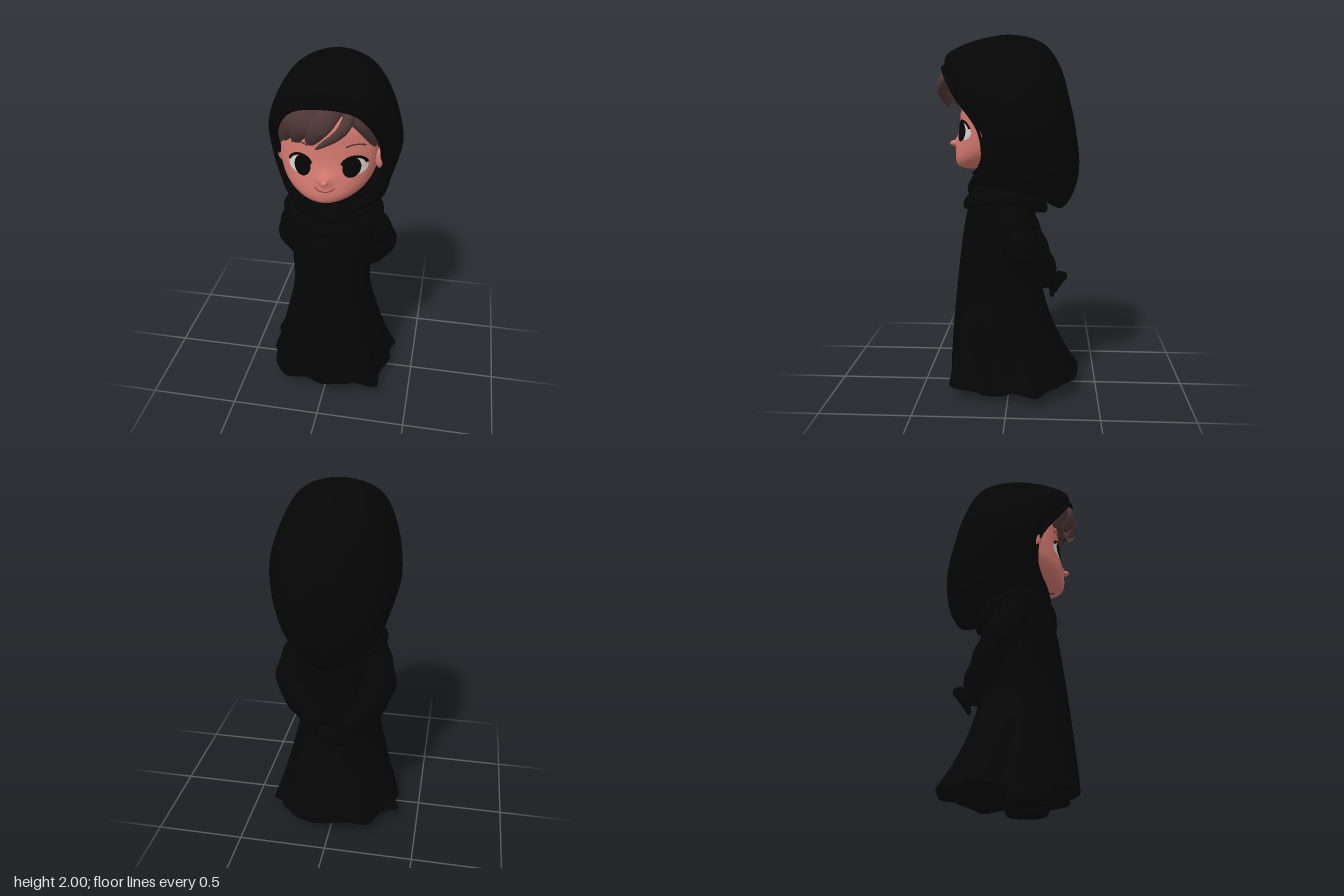
import * as THREE from 'three';
import { mergeVertices } from 'three/addons/utils/BufferGeometryUtils.js';

const V = (x, y, z) => new THREE.Vector3(x, y, z);
const mat = (name, color, side = THREE.FrontSide) => new THREE.MeshStandardMaterial({ name, color, side });

// Smooth surface from a rule fn(u, v); the front is the side of dP/du x dP/dv
function surface(nu, nv, fn) {
  const pos = [], idx = [];
  for (let j = 0; j <= nv; j++) for (let i = 0; i <= nu; i++) pos.push(...fn(i / nu, j / nv).toArray());
  for (let j = 0; j < nv; j++) for (let i = 0; i < nu; i++) {
    const a = j * (nu + 1) + i, d = a + nu + 1;
    idx.push(a, a + 1, d, a + 1, d + 1, d);
  }
  const g = new THREE.BufferGeometry();
  g.setAttribute('position', new THREE.Float32BufferAttribute(pos, 3));
  g.setIndex(idx);
  const m = mergeVertices(g, 1e-5);
  m.computeVertexNormals();
  return m;
}

// Smooth lookup in a table of rows [y, halfWidth, zFront, zBack]
function lookup(rows, y) {
  const n = rows.length - 1;
  let i = 0;
  while (i < n - 1 && y > rows[i + 1][0]) i++;
  const a = rows[i], b = rows[i + 1], p = rows[Math.max(i - 1, 0)], q = rows[Math.min(i + 2, n)];
  const h = b[0] - a[0], t = THREE.MathUtils.clamp((y - a[0]) / h, 0, 1);
  return [1, 2, 3].map((k) => {
    const m0 = (b[k] - p[k]) / (b[0] - p[0]) * h, m1 = (q[k] - a[k]) / (q[0] - a[0]) * h;
    return a[k] * (2 * t ** 3 - 3 * t * t + 1) + m0 * (t ** 3 - 2 * t * t + t)
      + b[k] * (3 * t * t - 2 * t ** 3) + m1 * (t ** 3 - t * t);
  });
}
const oval = (a, y, [rx, zf, zb], k = 1) =>
  V(rx * k * Math.sin(a), y, (zf + zb) / 2 + (zf - zb) / 2 * k * Math.cos(a));

// Tube along points with half-width w(t), half-depth d(t); hint is the depth direction
function sweep(points, w, d, hint, nu = 16, nv = 24) {
  const c = new THREE.CatmullRomCurve3(points.map((p) => V(...p)));
  return surface(nu, nv, (u, v) => {
    const t = c.getTangent(v), n = hint.clone().addScaledVector(t, -hint.dot(t)).normalize();
    const s = n.clone().cross(t), a = u * Math.PI * 2;
    return c.getPoint(v).addScaledVector(s, w(v) * Math.cos(a)).addScaledVector(n, d(v) * Math.sin(a));
  });
}

const FACE = [[1.268, 0.01, 0.25, 0.2], [1.285, 0.1, 0.29, 0.1], [1.32, 0.17, 0.305, 0.02], [1.37, 0.22, 0.303, -0.05],
  [1.43, 0.25, 0.293, -0.1], [1.5, 0.265, 0.28, -0.1], [1.58, 0.265, 0.275, -0.1], [1.68, 0.24, 0.27, -0.1],
  [1.78, 0.17, 0.22, -0.06], [1.84, 0.02, 0.09, 0.03]];
const DRESS = [[0.08, 0.365, 0.345, -0.385], [0.2, 0.325, 0.34, -0.32], [0.4, 0.275, 0.325, -0.235], [0.65, 0.222, 0.3, -0.17],
  [0.85, 0.225, 0.275, -0.145], [1.0, 0.24, 0.25, -0.145], [1.1, 0.235, 0.22, -0.135], [1.22, 0.16, 0.16, -0.1]];
// Hem corners: [angle, reach, spread]
const CORNERS = [[0.74, 0.27, 0.17], [-0.72, 0.09, 0.25], [1.93, 0.1, 0.13], [-1.93, 0.11, 0.13], [2.6, 0.1, 0.18],
  [-2.6, 0.07, 0.15], [2.25, 0.06, 0.15], [3.1, 0.05, 0.2]];

function faceZ(x, y) {
  const [rx, zf, zb] = lookup(FACE, y), c = (zf + zb) / 2;
  return c + (zf - c) * Math.sqrt(Math.max(0, 1 - (x / rx) ** 2));
}

// Half loops of the hood from its rim to the back, each from crown to chin
const RIM = [[0, 1.83, 0.357], [0.16, 1.8, 0.342], [0.25, 1.68, 0.275], [0.27, 1.5, 0.15], [0.24, 1.36, 0.13], [0.14, 1.27, 0.17], [0, 1.245, 0.2]];
const BROW = [[0, 1.9, 0.338], [0.195, 1.86, 0.31], [0.3, 1.7, 0.22], [0.327, 1.5, 0.1], [0.285, 1.34, 0.11], [0.18, 1.23, 0.19], [0, 1.19, 0.225]];
const CROWN = [[0, 2, 0.03], [0.195, 1.935, 0.03], [0.31, 1.73, 0], [0.356, 1.53, -0.02], [0.305, 1.33, 0], [0.25, 1.2, 0.04], [0, 1.14, 0.05]];
const NAPE = [[0, 1.955, -0.18], [0.16, 1.9, -0.18], [0.27, 1.73, -0.2], [0.315, 1.5, -0.2], [0.285, 1.29, -0.18], [0.2, 1.15, -0.17], [0, 1.1, -0.17]];
const BACK = [[0, 1.83, -0.275], [0.12, 1.78, -0.275], [0.2, 1.66, -0.285], [0.24, 1.45, -0.31], [0.19, 1.24, -0.33], [0.1, 1.1, -0.31], [0, 1.05, -0.29]];
const TIP = [[0, 1.62, -0.335], [0.06, 1.6, -0.34], [0.1, 1.53, -0.35], [0.12, 1.4, -0.37], [0.09, 1.28, -0.38], [0.05, 1.21, -0.375], [0, 1.18, -0.365]];
const loop = (half) => new THREE.CatmullRomCurve3([
  ...half.map(([x, y, z]) => V(x + 0.018, y, z)),
  ...half.slice(1, -1).reverse().map(([x, y, z]) => V(0.018 - x, y, z))], true);

export function createModel() {
  const model = new THREE.Group();
  const cloth = mat('black cloth', 0x050505, THREE.DoubleSide), skin = mat('skin', 0xd47a70);
  const hair = mat('brown hair', 0x4e3836), white = mat('eye white', 0xd8d4d0);
  const dark = mat('eye black', 0x050505), lip = mat('lip line', 0x8a3c38);
  const add = (name, geo, material, parent = model) => {
    const m = new THREE.Mesh(geo, material);
    m.name = name;
    parent.add(m);
    return m;
  };
  const ball = (name, material, p, r, parent) => {
    const m = add(name, new THREE.SphereGeometry(1, 28, 20), material, parent);
    m.position.set(...p);
    m.scale.set(...r);
  };

  // Robe with folds that deepen to the hem, and its hollow underside
  const robe = (a, y, k = 1) => {
    const f = Math.max(0, 1 - (y - 0.08) / 0.6) ** 1.5;
    let wave = 0.018 * Math.cos(13 * a + 0.6);
    for (const [c, reach, spread] of CORNERS) {
      const d = Math.atan2(Math.sin(a - c), Math.cos(a - c));
      wave += reach * Math.exp(-((d / spread) ** 2));
    }
    const p = oval(a, y, lookup(DRESS, y), k * (1 + f * wave));
    p.x += 0.01 * (1 - f);
    p.y += f * f * (0.03 * Math.cos(a) ** 2 - 0.012 + 0.012 * Math.cos(7 * a + 2));
    return p;
  };
  add('robe', surface(144, 50, (u, v) => robe(u * Math.PI * 2, 0.08 + 1.14 * v)), cloth);
  add('robeUnderside', surface(144, 8, (u, v) => {
    const p = robe(-u * Math.PI * 2, 0.08, 1 - v);
    p.y += (0.17 - p.y) * Math.sin(v * Math.PI / 2);
    return p;
  }), cloth);

  // Shoes
  const shoe = new THREE.SplineCurve([[0, 0.005], [0.065, 0.005], [0.081, 0.025], [0.083, 0.06], [0.066, 0.105], [0.03, 0.128], [0, 0.13]]
    .map((p) => new THREE.Vector2(...p)));
  const shoeGeo = new THREE.LatheGeometry(shoe.getPoints(24).map((p) => p.setX(Math.max(0, p.x))), 32).scale(1, 1, 1.44);
  for (const x of [-0.142, 0.175]) add('shoe', shoeGeo, cloth).position.set(x, 0, 0.08);

  // Sleeves bent behind the back, and clasped hands
  for (const s of [1, -1]) {
    const r = (t) => (0.088 + 0.018 * Math.sin(t * Math.PI) - 0.022 * t + 0.004 * Math.sin(t * 30)) * (t < 0.001 || t > 0.999 ? 0.01 : 1);
    add('sleeve', sweep([[s * 0.16, 1.13, 0.03], [s * 0.218 + 0.013, 1.0, -0.01], [s * 0.249 + 0.013, 0.87, -0.075],
      [s * 0.165, 0.735, -0.15], [s * 0.05, 0.645, -0.215]], r, r, V(0, 0, -1), 22, 40), cloth);
    const hand = new THREE.Group();
    hand.name = 'hand';
    model.add(hand);
    ball('palm', cloth, [s * 0.03, 0.615 + s * 0.01, -0.25], [0.065, 0.055, 0.04], hand);
    for (let i = 0; i < 4; i++) {
      const y = 0.66 - i * 0.028 + s * 0.006, f = (t) => 0.016 * Math.sqrt(Math.max(0, 1 - (2 * t - 1) ** 6));
      add('finger', sweep([[s * 0.055, y, -0.265], [s * 0.01, y - 0.008, -0.312 + 0.022 * i], [-s * 0.055, y - 0.03, -0.285 + 0.015 * i]],
        f, f, V(0, 1, 0), 10, 12), cloth, hand);
    }
  }

  // Draped collar folds that hang lower at the front and back
  for (const [y, rx, zf, zb, w, h, front, back] of [[1.145, 0.245, 0.225, -0.172, 0.036, 0.04, 0.055, 0.075], [1.205, 0.2, 0.195, -0.14, 0.04, 0.05, 0.03, 0.05]]) {
    add('collarFold', surface(72, 16, (u, v) => {
      const a = u * Math.PI * 2, b = v * Math.PI * 2, o = w * Math.cos(b) + 0.006 * Math.cos(7 * a + y * 20);
      const c = Math.cos(a), droop = (c > 0 ? front : back) * c * c;
      const p = oval(a, y + h * Math.sin(b) - droop - 0.02 * Math.cos(b), [rx + o, zf + o, zb - o]);
      p.x += 0.015;
      return p;
    }), cloth);
  }

  // Hood
  const loops = [RIM, BROW, CROWN, NAPE, BACK, TIP].map(loop), pole = V(0.018, 1.42, -0.376);
  add('hood', surface(72, 44, (u, v) =>
    new THREE.CatmullRomCurve3([...loops.map((c) => c.getPoint(u)), pole]).getPoint(v)), cloth);
  add('hoodRim', new THREE.TubeGeometry(loops[0], 96, 0.012, 10, true), cloth);

  // Head, ears and nose
  const head = new THREE.Group();
  head.name = 'head';
  model.add(head);
  add('face', surface(72, 60, (u, v) => {
    const y = 1.268 + 0.572 * v * (0.35 + 0.65 * v);
    const p = oval(u * Math.PI * 2, y, lookup(FACE, y));
    // Soft nose bridge
    if (p.z > 0) p.z += 0.02 * Math.exp(-(((p.x - 0.015) / 0.035) ** 2) - ((y - 1.42) / 0.03) ** 2);
    return p;
  }), skin, head);
  for (const s of [1, -1]) ball('ear', skin, [s * 0.258 + 0.015, 1.49, 0.13], [0.026, 0.055, 0.03], head);
  ball('nose', skin, [0.015, 1.412, 0.312], [0.02, 0.016, 0.026], head);

  // Thin painted details that follow the face
  const patch = (name, material, inner, t0, len, cx, cy, rx, ry, off) => {
    const g = new THREE.RingGeometry(inner, 1, 40, 6, t0 * Math.PI, len * Math.PI), p = g.attributes.position;
    for (let i = 0; i < p.count; i++) {
      const x = cx + rx * p.getX(i), y = cy + ry * p.getY(i);
      p.setXYZ(i, x, y, faceZ(x, y) + off);
    }
    g.computeVertexNormals();
    add(name, g, material, head);
  };
  for (const s of [1, -1]) {
    const cx = s * 0.138 + 0.02;
    patch('eyeWhite', white, 0.001, 0, 2, cx + s * 0.008, 1.482, 0.056, 0.044, 0.004);
    patch('pupil', dark, 0.001, 0, 2, cx - s * 0.013, 1.484, 0.045, 0.054, 0.007);
    patch('upperLash', dark, 0.8, 0.1, 0.8, cx, 1.482, 0.071, 0.066, 0.009);
    patch('eyebrow', hair, 0.8, 0.22, 0.56, cx + s * 0.004, 1.57, 0.066, 0.037, 0.006);
  }
  patch('smile', lip, 0.88, 1.14, 0.72, 0.015, 1.398, 0.06, 0.044, 0.005);

  // Broad fringe locks swept from a parting under the hood: [root, middle, tip, half-width, bluntness]
  const locks = [
    [[0.0, 1.84, 0.25], [-0.17, 1.74, 0.25], [-0.255, 1.54, 0.15], 0.075, 0.5],
    [[0.02, 1.84, 0.27], [-0.15, 1.735, 0.305], [-0.215, 1.6, 0.23], 0.08, 0.4],
    [[0.05, 1.84, 0.29], [-0.09, 1.735, 0.35], [-0.14, 1.622, 0.3], 0.08, 0.4],
    [[0.09, 1.84, 0.3], [0.0, 1.73, 0.37], [-0.06, 1.628, 0.34], 0.07, 0.4],
    [[0.16, 1.84, 0.3], [0.115, 1.725, 0.368], [-0.025, 1.605, 0.345], 0.038, 0.5],
    [[0.08, 1.84, 0.29], [0.19, 1.745, 0.3], [0.26, 1.59, 0.215], 0.055, 0.5],
    [[0.12, 1.84, 0.25], [0.235, 1.72, 0.245], [0.285, 1.55, 0.14], 0.06, 0.5]];
  for (const [a, b, c, w, blunt] of locks) {
    const taper = (t) => Math.max(0.0005, (1 - t) ** blunt * Math.min(1, 0.6 + t));
    add('hairLock', sweep([a, b, c], (t) => w * taper(t), (t) => 0.034 * taper(t),
      V(b[0], 0, b[2]).normalize(), 18, 26), hair, head);
  }
  return model;
}
